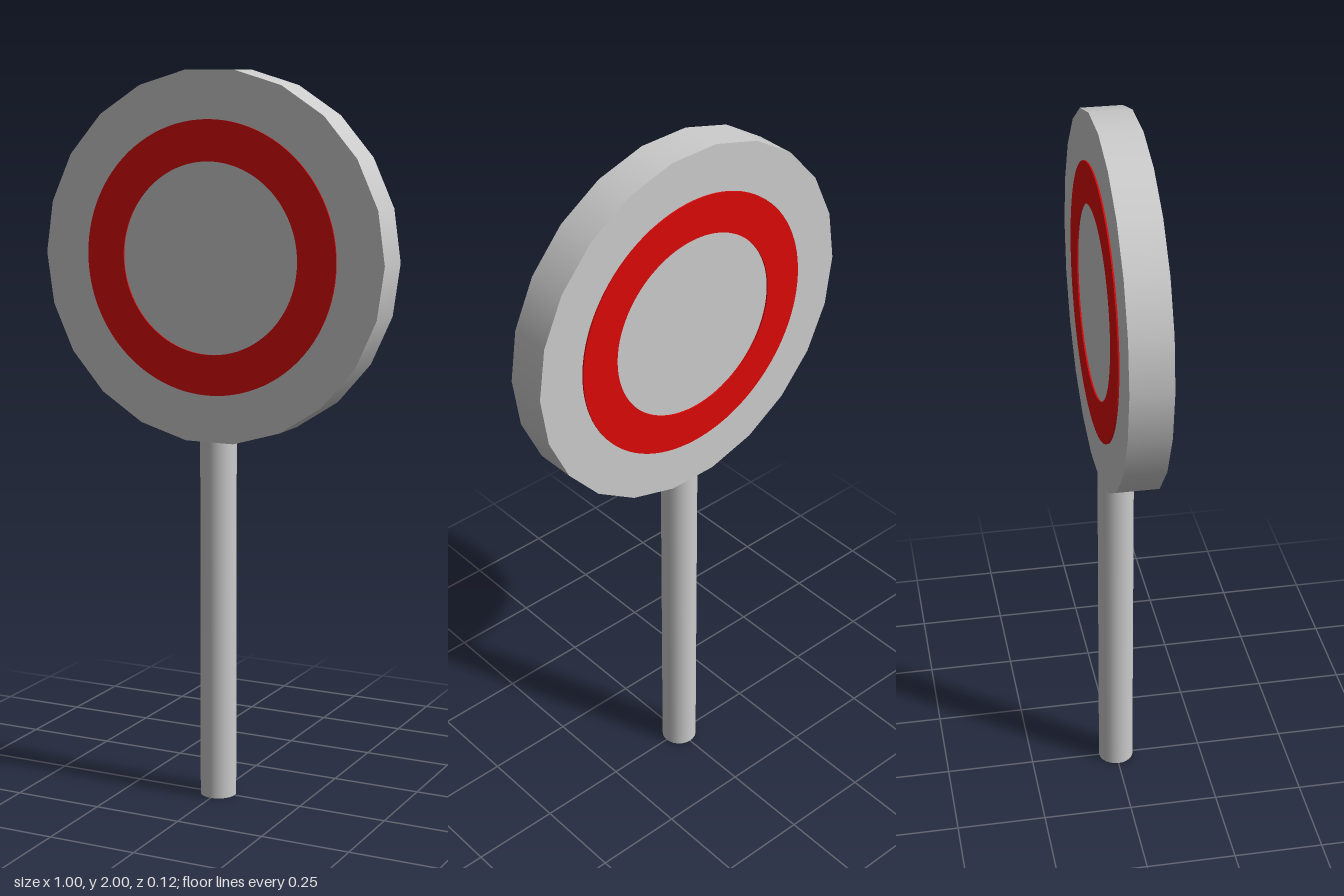
import * as THREE from 'three';

const CENTER_Y = 1.505;
const DISC_HALF = 0.056;
const RING_DEPTH = 0.004;

export function createModel() {
  const group = new THREE.Group();
  const grey = new THREE.MeshStandardMaterial({ color: 0xcccccc });
  const red = new THREE.MeshStandardMaterial({ color: 0xdd0808 });

  const add = (name, geometry, material, y, z = 0) => {
    const mesh = new THREE.Mesh(geometry, material);
    mesh.name = name;
    mesh.position.set(0, y, z);
    group.add(mesh);
  };

  // Round pole
  add('pole', new THREE.CylinderGeometry(0.05, 0.05, 1.01, 24), grey, 0.505);

  // 22-sided plate with corners at left and right, flat edges at top and bottom
  const disc = new THREE.CylinderGeometry(0.5, 0.5, DISC_HALF * 2, 22, 1, false, Math.PI / 2);
  disc.rotateX(Math.PI / 2);
  add('signPlate', disc, grey, CENTER_Y);

  // Thin raised red ring on each face
  const shape = new THREE.Shape().absarc(0, 0, 0.367, 0, Math.PI * 2);
  shape.holes.push(new THREE.Path().absarc(0, 0, 0.257, 0, Math.PI * 2, true));
  const ring = new THREE.ExtrudeGeometry(shape, {
    depth: RING_DEPTH, bevelEnabled: false, curveSegments: 48,
  });
  add('frontRing', ring, red, CENTER_Y, DISC_HALF);
  add('backRing', ring, red, CENTER_Y, -DISC_HALF - RING_DEPTH);

  return group;
}
